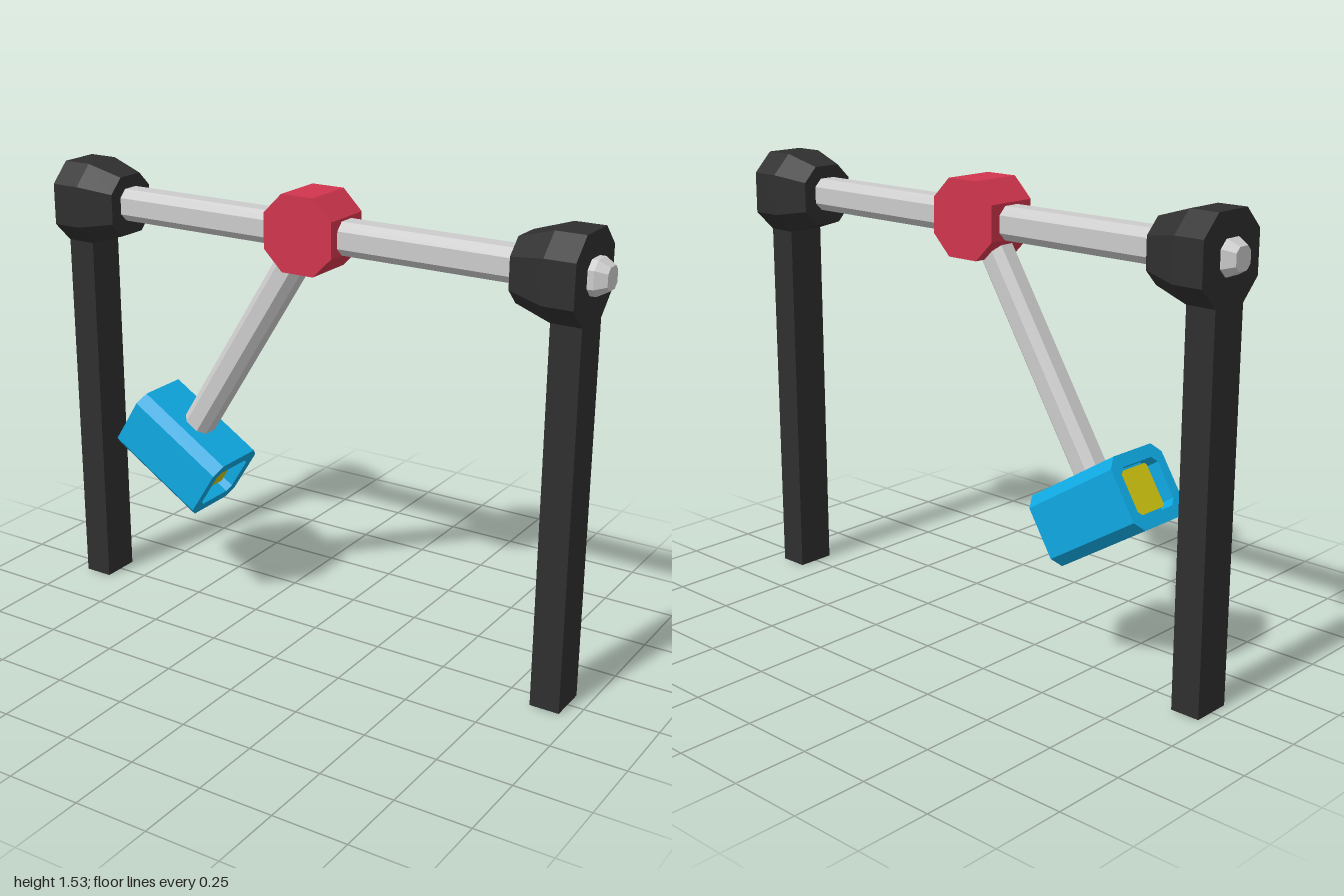
import * as THREE from 'three';

const material = (color) => new THREE.MeshStandardMaterial({ color, flatShading: true });

// Chamfered-rectangle sections [x, halfY, halfZ, chamfer] joined along x, capped at both ends
function loft(sections) {
  const rings = sections.map(([x, h, w, c]) => [
    [h, w - c], [h - c, w], [c - h, w], [-h, w - c],
    [-h, c - w], [c - h, -w], [h - c, -w], [h, c - w],
  ].map(([y, z]) => [x, y, z]));
  const pos = [];
  const tri = (a, b, c) => pos.push(...a, ...b, ...c);
  for (let i = 0; i < rings.length - 1; i++) {
    for (let j = 0; j < 8; j++) {
      const k = (j + 1) % 8, p = rings[i], q = rings[i + 1];
      tri(p[j], p[k], q[k]);
      tri(p[j], q[k], q[j]);
    }
  }
  const first = rings[0], last = rings[rings.length - 1];
  for (let j = 1; j < 7; j++) {
    tri(first[0], first[j + 1], first[j]);
    tri(last[0], last[j], last[j + 1]);
  }
  const geometry = new THREE.BufferGeometry();
  geometry.setAttribute('position', new THREE.Float32BufferAttribute(pos, 3));
  geometry.computeVertexNormals();
  return geometry;
}

function addMesh(parent, name, geometry, mat, x = 0, y = 0, z = 0) {
  const mesh = new THREE.Mesh(geometry, mat);
  mesh.name = name;
  mesh.position.set(x, y, z);
  parent.add(mesh);
  return mesh;
}

export function createModel() {
  const model = new THREE.Group();
  model.name = 'hammerFrame';
  const black = material(0x2f2f2f);
  const grey = material(0xcccccc);
  const red = material(0xd0354d);
  const blue = material(0x0fa9e2);
  const yellow = material(0xd0c410);
  const axleY = 1.395;

  // Posts with tapered sockets; the socket narrows toward the middle
  const socket = loft([[-0.05, 0.136, 0.135, 0.067], [0.05, 0.136, 0.135, 0.067], [0.17, 0.1, 0.1, 0.05]]);
  for (const [side, x] of [['right', -0.91], ['left', 0.895]]) {
    const support = new THREE.Group();
    support.name = side + 'Support';
    support.position.x = x;
    if (x > 0) support.rotation.y = Math.PI;
    addMesh(support, side + 'Post', new THREE.BoxGeometry(0.1, 1.3, 0.134), black, 0, 0.65);
    addMesh(support, side + 'Socket', socket, black, 0, 1.391);
    model.add(support);
  }

  // Axle with bevelled tips
  addMesh(model, 'axle', loft([
    [-1, 0.035, 0.035, 0.016], [-0.965, 0.054, 0.054, 0.026],
    [0.965, 0.054, 0.054, 0.026], [1, 0.035, 0.035, 0.016],
  ]), grey, 0, axleY);

  // Swinging hammer, pivoting about the hub
  const hammer = new THREE.Group();
  hammer.name = 'hammer';
  hammer.position.set(-0.01, 1.4, 0);
  model.add(hammer);
  const hub = addMesh(hammer, 'hub', loft([[-0.09, 0.125, 0.125, 0.067], [0.09, 0.125, 0.125, 0.067]]), red);
  hub.rotation.y = Math.PI / 2;

  const arm = new THREE.Group();
  arm.name = 'hammerArm';
  arm.rotation.z = THREE.MathUtils.degToRad(-32);
  hammer.add(arm);
  const rod = addMesh(arm, 'rod', loft([[0.05, 0.05, 0.05, 0.025], [0.92, 0.05, 0.05, 0.025]]), grey);
  rod.rotation.z = -Math.PI / 2;

  // Head with a recess in each striking face
  const half = 0.189, floor = half - 0.05;
  const inner = [0.08, 0.088, 0.02], outer = [0.12, 0.124, 0.034];
  addMesh(arm, 'head', loft([
    [-floor, ...inner], [-half, ...inner], [-half, ...outer],
    [half, ...outer], [half, ...inner], [floor, ...inner],
  ]), blue, 0, -0.992);
  for (const s of [-1, 1]) {
    addMesh(arm, s < 0 ? 'rightStrikePad' : 'leftStrikePad',
      new THREE.BoxGeometry(0.02, 0.146, 0.164), yellow, s * floor, -0.992);
  }
  return model;
}
